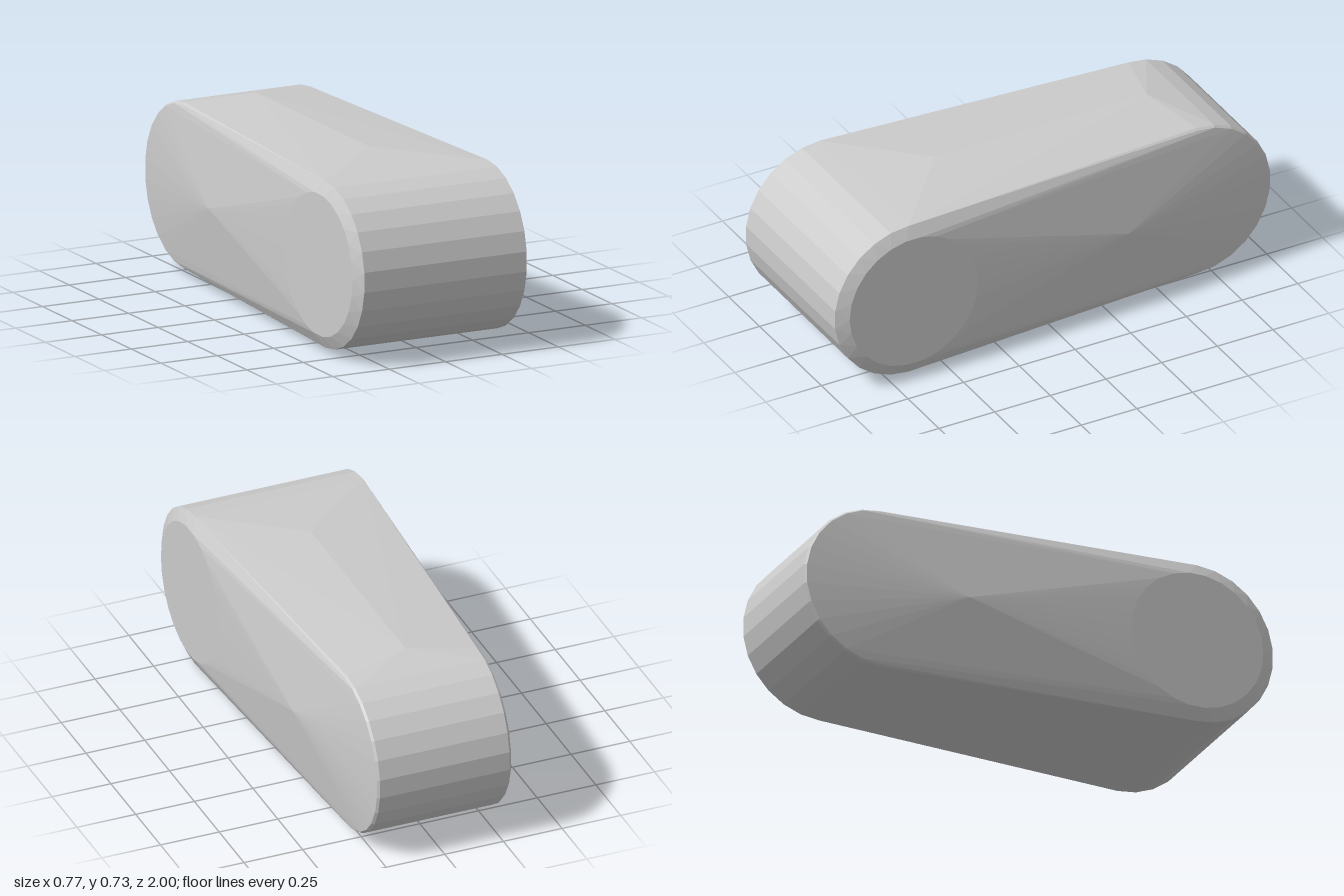
import * as THREE from 'three';
import { ConvexGeometry } from 'three/addons/geometries/ConvexGeometry.js';

const MID_Y = 0.3625;

// Points of an upright arc at a given x; angle 0 points to +z
function arc(x, z, ry, rz, from, to, steps) {
  const points = [];
  for (let i = 0; i <= steps; i++) {
    const a = from + (to - from) * i / steps;
    points.push(new THREE.Vector3(x, MID_Y + ry * Math.sin(a), z + rz * Math.cos(a)));
  }
  return points;
}

export function createModel() {
  const group = new THREE.Group();
  group.name = 'taperedCapsule';
  const h = Math.PI / 2;
  const points = [];

  for (const side of [-1, 1]) {
    points.push(
      // Round front end and its bevelled side disc
      ...arc(side * 0.36, 0.67, 0.3375, 0.332, -h, h, 13),
      ...arc(side * 0.385, 0.66, 0.288, 0.288, -Math.PI, Math.PI, 26),
      // Narrower round back end with a thin bevel
      ...arc(side * 0.276, -0.67, 0.3375, 0.332, h, 3 * h, 13),
      ...arc(side * 0.286, -0.67, 0.33, 0.324, h, 3 * h, 13),
      // Slight bulge of the side
      new THREE.Vector3(side * 0.36, MID_Y, -0.32)
    );
  }
  // Shallow ridges along the top and bottom
  points.push(
    new THREE.Vector3(0, 0.725, 0.35), new THREE.Vector3(0, 0.725, -0.6),
    new THREE.Vector3(0, 0, 0.05), new THREE.Vector3(0, 0, -0.6)
  );

  const body = new THREE.Mesh(
    new ConvexGeometry(points),
    new THREE.MeshStandardMaterial({ color: 0xcccccc, flatShading: true })
  );
  body.name = 'body';
  group.add(body);
  return group;
}
